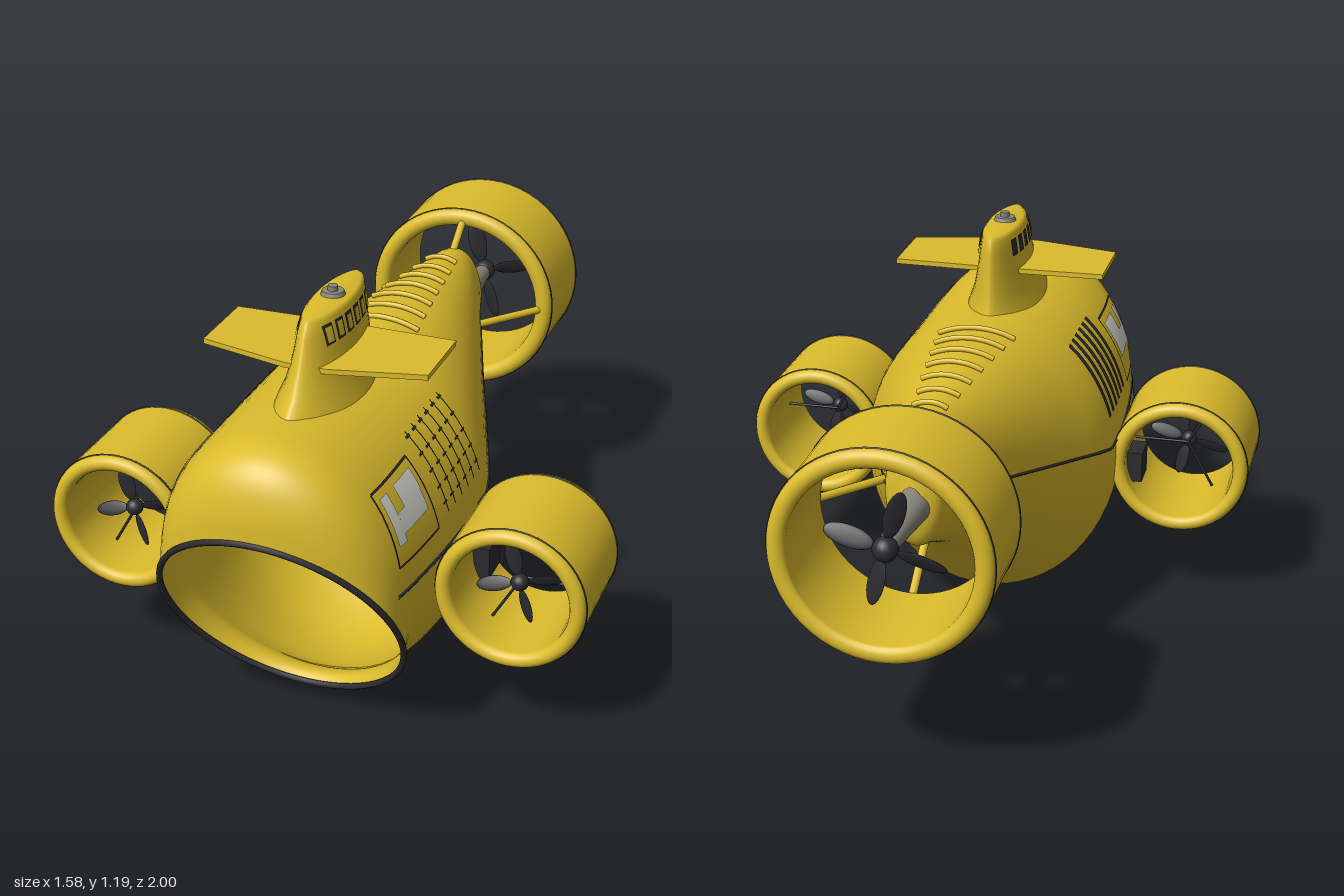
import * as THREE from 'three';

const V = (x, y, z) => new THREE.Vector3(x, y, z);
const mat = (name, color) => {
  const m = new THREE.MeshStandardMaterial({ color, side: THREE.DoubleSide });
  m.name = name;
  return m;
};

export function createModel() {
  const yellow = mat('yellow paint', 0xdcbc2c);
  const dark = mat('dark trim', 0x2c2c30);
  const gray = mat('gray metal', 0x8a867c);
  const glass = mat('pale glass', 0xd9d9d2);
  const root = new THREE.Group();
  root.name = 'submarine';
  const add = (name, geo, material, parent = root) => {
    const m = new THREE.Mesh(geo, material);
    m.name = name;
    parent.add(m);
    return m;
  };
  const group = (name, x = 0, y = 0, z = 0) => {
    const g = new THREE.Group();
    g.name = name;
    g.position.set(x, y, z);
    root.add(g);
    return g;
  };
  const tube = (pts, r, closed = false, seg = pts.length * 3) =>
    new THREE.TubeGeometry(new THREE.CatmullRomCurve3(pts, closed), seg, r, 8, closed);
  const rod = (a, b, r) => new THREE.TubeGeometry(new THREE.LineCurve3(a, b), 1, r, 10);

  // grid surface from a rule f(i, j) -> Vector3
  const loft = (rows, cols, f, wrap) => {
    const pos = [], idx = [], n = wrap ? cols : cols + 1;
    for (let i = 0; i <= rows; i++) for (let j = 0; j < n; j++) pos.push(...f(i / rows, j / cols).toArray());
    for (let i = 0; i < rows; i++) for (let j = 0; j < cols; j++) {
      const a = i * n + j, b = i * n + (j + 1) % n;
      idx.push(a, b, a + n, b, b + n, a + n);
    }
    const g = new THREE.BufferGeometry();
    g.setAttribute('position', new THREE.Float32BufferAttribute(pos, 3));
    g.setIndex(idx);
    g.computeVertexNormals();
    return g;
  };

  // hull: leaning elliptical sections, [top z, top y, bottom z, bottom y, half width]
  const sections = [
    [.99, .71, .63, .06, .345], [.985, .79, .60, .078, .345], [.965, .865, .565, .072, .348],
    [.93, .912, .53, .05, .353], [.87, .94, .48, .025, .36], [.75, .945, .40, .007, .372],
    [.55, .937, .33, .003, .383], [.35, .932, .25, .015, .387], [.2, .935, .15, .055, .375],
    [0, .94, 0, .16, .312], [-.2, .935, -.2, .328, .235], [-.4, .92, -.4, .465, .162],
    [-.6, .905, -.58, .55, .095], [-.655, .87, -.65, .58, .077], [-.68, .76, -.68, .68, .03],
  ];
  const topLine = new THREE.CatmullRomCurve3(sections.map(s => V(s[4], s[1], s[0])));
  const bottomLine = new THREE.CatmullRomCurve3(sections.map(s => V(s[4], s[3], s[2])));
  const hullPoint = (u, a) => {
    const T = topLine.getPoint(u), B = bottomLine.getPoint(u), k = (1 + Math.sin(a)) / 2;
    return V(T.x * Math.cos(a), B.y + (T.y - B.y) * k, B.z + (T.z - B.z) * k);
  };
  add('hull', loft(84, 64, (u, v) => hullPoint(u, v * Math.PI * 2), true), yellow);
  const rim = [];
  for (let i = 0; i < 32; i++) rim.push(hullPoint(0, i / 32 * Math.PI * 2));
  add('noseRim', tube(rim, .009, true), dark);

  // half width of the hull at a given height and depth
  const hullAt = (y, z) => {
    let lo = 0, hi = 1, k = 0;
    for (let i = 0; i < 30; i++) {
      const u = (lo + hi) / 2, T = topLine.getPoint(u), B = bottomLine.getPoint(u);
      k = (y - B.y) / (T.y - B.y);
      if (B.z + (T.z - B.z) * k > z) lo = u; else hi = u;
    }
    return { u: lo, x: topLine.getPoint(lo).x * Math.sqrt(Math.max(0, 1 - (2 * k - 1) ** 2)) };
  };
  const hullX = (y, z) => hullAt(y, z).x;

  // tower: stacked lens-shaped sections, [y, front z, rear z, half width]
  const levels = [[.9, .765, .175, .118], [.94, .74, .188, .103], [.98, .695, .197, .088], [1.05, .65, .205, .073],
    [1.12, .62, .21, .062], [1.155, .60, .216, .055], [1.166, .58, .235, .046], [1.168, .41, .41, .001]];
  const level = y => {
    const i = Math.max(0, levels.findIndex(l => l[0] >= y) - 1), a = levels[i], b = levels[i + 1];
    return a.map((n, j) => n + (b[j] - n) * (y - a[0]) / (b[0] - a[0]));
  };
  const bulge = s => Math.sign(s) * Math.abs(s) ** 1.25;
  add('tower', loft(levels.length - 1, 48, (u, v) => {
    const [y, f, r, w] = levels[Math.round(u * (levels.length - 1))], a = v * Math.PI * 2;
    return V(w * bulge(Math.sin(a)), y, (f + r) / 2 + (f - r) / 2 * Math.cos(a));
  }, true), yellow);
  const towerX = (y, z) => {
    const [, f, r, w] = level(y), c = (2 * z - f - r) / (f - r);
    return w * bulge(Math.sqrt(Math.max(0, 1 - c * c)));
  };

  // thin plate hugging a surface
  const plate = (name, surf, side, z0, z1, y0, y1, material, lift = .004) =>
    add(name, loft(8, 4, (u, v) => {
      const y = y0 + (y1 - y0) * u, z = z0 + (z1 - z0) * v;
      return V(side * (surf(y, z) + lift), y, z);
    }), material);

  for (const s of [1, -1]) {
    // side window with outline and pale panes
    const t = .003;
    for (const y of [.61, .81]) plate('windowFrame', hullX, s, .575, .805, y - t, y + t, dark);
    for (const z of [.575, .805]) plate('windowFrame', hullX, s, z - t, z + t, .61, .81, dark);
    plate('windowPane', hullX, s, .745, .785, .66, .79, glass);
    plate('windowPane', hullX, s, .595, .705, .735, .79, glass);
    plate('windowPane', hullX, s, .60, .745, .68, .735, glass);

    // vents and tower portholes
    for (let i = 0; i < 6; i++) {
      const z = .25 + i * .05, p = .305 + i * .0495;
      if (s < 0) {
        plate('vent', hullX, s, z - .013, z + .013, .62, .84, dark);
        plate('porthole', towerX, s, p - .017, p + .017, 1.092, 1.143, dark);
      } else {
        plate('ventLine', hullX, s, z - .0025, z + .0025, .62, .84, dark);
        for (let k = 0; k < 5; k++)
          plate('ventDash', hullX, s, z - .008, z + .018, .647 + k * .045, .653 + k * .045, dark);
        plate('portholeFrame', towerX, s, p - .018, p + .018, 1.09, 1.145, dark);
        plate('porthole', towerX, s, p - .012, p + .012, 1.097, 1.138, yellow, .006);
      }
    }

    // seam along the flank
    const seam = [];
    for (let i = 0; i <= 12; i++) seam.push([.53, .82 - i * .05]);
    for (let i = 1; i <= 14; i++) seam.push([.53 + .17 * i / 14, .22 - .75 * i / 14]);
    add('seam', tube(seam.map(([y, z]) => V(s * hullX(y, z), y, z)), .0045), dark);
  }

  // dorsal ribs
  for (let i = 0; i < 7; i++) {
    const z = .05 - i * .088, h = .115 - i * .011, u = hullAt(.92, z).u;
    const T = topLine.getPoint(u), B = bottomLine.getPoint(u), pts = [];
    for (let k = -4; k <= 4; k++) {
      const x = h * k / 4;
      pts.push(V(x, (T.y + B.y) / 2 + (T.y - B.y) / 2 * Math.sqrt(1 - (x / T.x) ** 2) + .007, z));
    }
    add('rib', tube(pts, .008), yellow);
  }

  // wings and hatch
  const wing = new THREE.Shape([[.32, .325], [.32, .55], [.06, .61], [-.06, .61], [-.32, .55], [-.32, .325],
    [-.06, .32], [.06, .32]].map(p => new THREE.Vector2(...p)));
  const wingGeo = new THREE.ExtrudeGeometry(wing, { depth: .015, bevelEnabled: false });
  add('wings', wingGeo.rotateX(Math.PI / 2), yellow).position.y = 1.044;
  add('hatch', new THREE.CylinderGeometry(.03, .034, .012, 24), gray).position.set(0, 1.172, .41);
  add('hatchKnob', new THREE.CylinderGeometry(.014, .014, .016, 16), gray).position.set(0, 1.184, .41);

  // duct with rounded lips, centred on its own axis
  const duct = (g, R, r, len) => {
    const pts = [], mid = (R + r) / 2, th = (R - r) / 2, lip = .024;
    for (let i = 0; i <= 20; i++) {
      const a = (i <= 10 ? i : i - 1) / 10 * Math.PI, end = i <= 10 ? 1 : -1;
      const b = i <= 10 ? a : a + Math.PI / 10 - 0;
      pts.push(new THREE.Vector2(mid + th * Math.cos(b), end * (len / 2 - lip) + lip * Math.sin(b)));
    }
    pts.push(pts[0].clone());
    add('duct', new THREE.LatheGeometry(pts, 56).rotateX(Math.PI / 2), yellow, g);
    for (const e of [-1, 1])
      add('ductSeam', new THREE.TorusGeometry(R, .003, 6, 56), dark, g).position.z = e * (len / 2 - .026);
  };
  // four-bladed propeller
  const propeller = (g, z, R, hub) => {
    add('propellerHub', new THREE.SphereGeometry(hub, 20, 14), dark, g).position.z = z;
    for (let i = 0; i < 4; i++) {
      const arm = new THREE.Group();
      arm.name = 'bladeArm';
      arm.position.z = z;
      arm.rotation.z = Math.PI * (i / 2 + 1 / 12);
      g.add(arm);
      const blade = add('blade', new THREE.SphereGeometry(1, 16, 10), dark, arm);
      blade.scale.set(R * .41, R * .17, R * .03);
      blade.position.x = R * .59;
      blade.rotation.x = .5;
    }
  };

  // side thrusters
  for (const s of [1, -1]) {
    const g = group(s > 0 ? 'leftThruster' : 'rightThruster', s * .578, .456, .453);
    duct(g, .21, .165, .365);
    propeller(g, .07, .127, .025);
    for (let i = 0; i < 3; i++) {
      const a = i * Math.PI * 2 / 3;
      add('strut', rod(V(0, 0, .04), V(.17 * Math.cos(a), .17 * Math.sin(a), .04), .004), dark, g);
    }
    add('motorMount', new THREE.BoxGeometry(.05, .095, .1), dark, g).position.set(-s * .143, -.03, -.08);
  }

  // tail thruster with shaft and braces
  const tail = group('tailThruster', 0, .7, -.835);
  duct(tail, .3, .247, .33);
  propeller(tail, -.09, .17, .035);
  add('shaft', new THREE.CylinderGeometry(.055, .025, .29, 24).rotateX(Math.PI / 2), gray, tail).position.z = .075;
  add('brace', rod(V(0, .89, -.58), V(0, .97, -.69), .012), yellow);
  add('brace', rod(V(0, .55, -.53), V(0, .43, -.69), .012), yellow);
  for (const s of [1, -1]) add('brace', rod(V(s * .11, .7, -.5), V(s * .27, .7, -.69), .012), yellow);

  return root;
}
